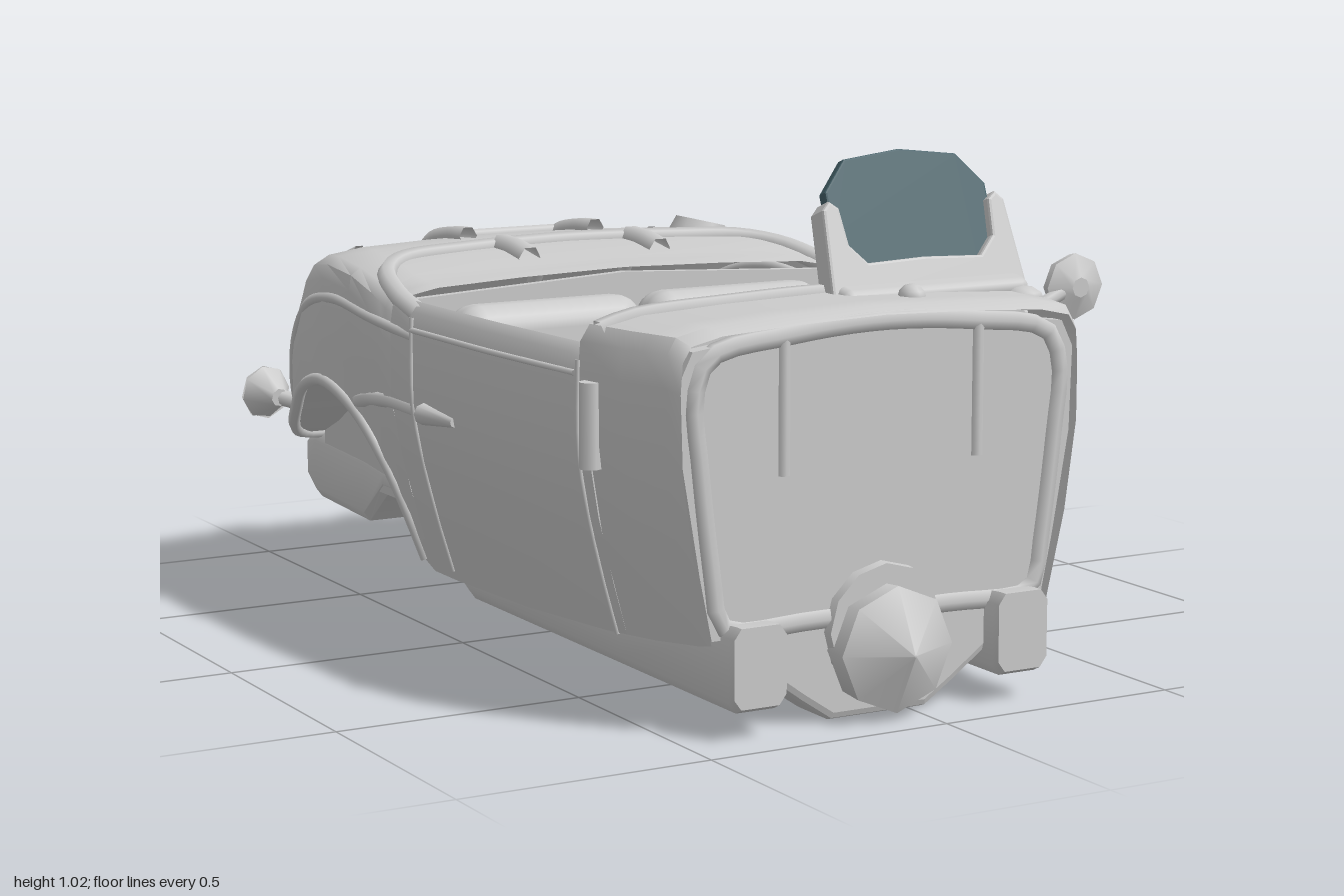
import * as THREE from 'three';
import { toCreasedNormals } from 'three/addons/utils/BufferGeometryUtils.js';
import { RoundedBoxGeometry } from 'three/addons/geometries/RoundedBoxGeometry.js';

const grey = new THREE.MeshStandardMaterial({ color: 0xcccccc, side: THREE.DoubleSide });
const glass = new THREE.MeshStandardMaterial({ color: 0x446068, side: THREE.DoubleSide });
const V = (x, y, z) => new THREE.Vector3(x, y, z);
const lerp = THREE.MathUtils.lerp;

// Body stations: z, half width, top, lower edge, roundness
const ROWS = [
  [0.89, 0.43, 0.75, 0.175, 0], [0.86, 0.445, 0.765, 0.17, 0], [0.75, 0.475, 0.765, 0.16, 0],
  [0.6, 0.503, 0.765, 0.15, 0], [0.3, 0.525, 0.73, 0.135, 0], [0, 0.535, 0.715, 0.13, 0],
  [-0.1, 0.535, 0.725, 0.13, 0], [-0.135, 0.535, 0.73, 0.15, 0], [-0.16, 0.535, 0.73, 0.25, 0],
  [-0.2, 0.535, 0.735, 0.335, 0], [-0.3, 0.535, 0.75, 0.435, 0], [-0.45, 0.533, 0.755, 0.48, 0.1],
  [-0.6, 0.52, 0.745, 0.445, 0.3], [-0.7, 0.497, 0.72, 0.385, 0.5], [-0.8, 0.457, 0.63, 0.325, 0.8],
  [-0.88, 0.395, 0.515, 0.29, 1], [-0.94, 0.3, 0.415, 0.275, 1], [-0.975, 0.19, 0.335, 0.265, 1],
  [-0.99, 0.06, 0.275, 0.26, 1]];
const PROFILE = [[1, 0], [1, 0.3], [1, 0.6], [1, 0.8], [0.99, 0.9], [0.95, 0.95], [0.8, 0.975], [0.45, 0.99], [0, 1]];
// Frame rail stations: z, top, bottom
const RAIL = [
  [0.93, 0.21, 0.06], [0.91, 0.21, 0.05], [0.5, 0.17, 0.05], [0, 0.14, 0.05], [-0.15, 0.14, 0.05],
  [-0.22, 0.17, 0.085], [-0.37, 0.25, 0.2], [-0.57, 0.26, 0.2], [-0.67, 0.27, 0.12], [-0.93, 0.28, 0.13],
  [-0.975, 0.27, 0.16]];

function station(z) {
  let i = 0;
  while (i < ROWS.length - 2 && ROWS[i + 1][0] > z) i++;
  const t = (z - ROWS[i][0]) / (ROWS[i + 1][0] - ROWS[i][0]);
  return ROWS[i].map((v, k) => lerp(v, ROWS[i + 1][k], t));
}
const taper = y => (y < 0.5 ? 1 - 0.175 * Math.pow((0.5 - y) / 0.37, 1.3) : 1);
// Half section from lower edge to top centre
function half(z) {
  const [, hw, top, low, round] = station(z);
  return PROFILE.map(([px, py], i) => {
    const a = (i / 8) * Math.PI / 2;
    const rx = i === 8 ? 0 : Math.pow(Math.cos(a), 0.75), ry = Math.pow(Math.sin(a), 0.75);
    const y = lerp(low, top, lerp(py, ry, round));
    return [hw * lerp(px, rx, round) * lerp(taper(y), 1, round), y];
  });
}
const fullSection = z => {
  const h = half(z);
  return [...h.map(([x, y]) => V(-x, y, z)), ...h.slice(0, -1).reverse().map(([x, y]) => V(x, y, z))];
};
// Height of the deck at x, and half width of the side at y
function deckY(x, z) {
  const h = half(z);
  for (let i = 7; i >= 0; i--) if (h[i][0] >= Math.abs(x)) {
    return lerp(h[i + 1][1], h[i][1], (Math.abs(x) - h[i + 1][0]) / (h[i][0] - h[i + 1][0]));
  }
  return h[4][1];
}
function sideX(y, z) {
  const h = half(z);
  for (let i = 0; i < 8; i++) if (h[i + 1][1] >= y) {
    return lerp(h[i][0], h[i + 1][0], Math.max(0, (y - h[i][1]) / (h[i + 1][1] - h[i][1])));
  }
  return 0;
}

function loft(sections, ring = false, crease = 0.7) {
  const n = sections[0].length, pos = [], idx = [];
  sections.forEach(s => s.forEach(p => pos.push(p.x, p.y, p.z)));
  for (let i = 0; i < sections.length - 1; i++) for (let j = 0; j < (ring ? n : n - 1); j++) {
    const a = i * n + j, b = i * n + (j + 1) % n;
    idx.push(a, b, b + n, a, b + n, a + n);
  }
  if (ring) for (const o of [0, (sections.length - 1) * n]) for (let j = 1; j < n - 1; j++) {
    idx.push(o, o ? o + j : o + j + 1, o ? o + j + 1 : o + j);
  }
  const g = new THREE.BufferGeometry();
  g.setAttribute('position', new THREE.Float32BufferAttribute(pos, 3));
  g.setIndex(idx);
  return toCreasedNormals(g, crease);
}

export function createModel() {
  const model = new THREE.Group(), car = new THREE.Group();
  car.name = 'car';
  car.position.x = -0.07;
  model.add(car);
  const add = (name, geo, x = 0, y = 0, z = 0, mat = grey, parent = car) => {
    const m = new THREE.Mesh(geo, mat);
    m.name = name;
    m.position.set(x, y, z);
    parent.add(m);
    return m;
  };
  const rod = (name, a, b, r, r2 = r, sides = 8) => {
    const d = b.clone().sub(a), m = add(name, new THREE.CylinderGeometry(r2, r, d.length(), sides));
    m.position.copy(a).addScaledVector(d, 0.5);
    m.quaternion.setFromUnitVectors(V(0, 1, 0), d.normalize());
    return m;
  };
  const tube = (name, pts, r, n = 24, closed = false) =>
    add(name, new THREE.TubeGeometry(new THREE.CatmullRomCurve3(pts, closed), n, r, 6, closed));
  const slab = (pts, depth, bevel = 0) => new THREE.ExtrudeGeometry(
    new THREE.Shape(pts.map(p => new THREE.Vector2(...p))),
    { depth, bevelEnabled: bevel > 0, bevelSize: bevel, bevelThickness: bevel, bevelSegments: 2 });
  const mirrorPts = h => [...h, ...h.filter(p => p[0] !== 0).reverse().map(([x, y]) => [-x, y])];

  // Cowl and rear body shells
  add('cowl', loft([0.89, 0.86, 0.8, 0.75, 0.63].map(fullSection)));
  add('rearBody', loft(ROWS.map(r => r[0]).filter(z => z <= -0.1).map(fullSection), false, 0.8));

  // Firewall with rounded frame and ribs
  const face = [[0.36, 0.18], [0.385, 0.3], [0.42, 0.5], [0.425, 0.66], [0.4, 0.71], [0.2, 0.735], [0, 0.745]];
  add('firewall', slab(mirrorPts(face), 0.03), 0, 0, 0.85);
  const frame = [[0.15, 0.195], [0.32, 0.195], [0.345, 0.215], [0.36, 0.3], [0.385, 0.5], [0.395, 0.63],
    [0.365, 0.695], [0.2, 0.725], [0, 0.738]];
  tube('firewallFrame', mirrorPts(frame).map(p => V(p[0], p[1], 0.873)), 0.02, 60, true);

  for (const s of [1, -1]) {
    rod('firewallRib', V(s * 0.21, 0.47, 0.877), V(s * 0.21, 0.72, 0.877), 0.013);

    // Door and side walls with rolled rim
    add('sideWall', loft([0.66, 0.6, 0.45, 0.3, 0.15, 0, -0.1].map(z => {
      const [, hw, , low] = station(z), o = y => hw * taper(y);
      return [[o(low), low], [o(0.25), 0.25], [o(0.38), 0.38], [hw, 0.5], [hw, 0.64], [hw - 0.006, 0.68],
        [hw - 0.025, 0.698], [hw - 0.045, 0.68], [hw - 0.05, 0.5], [o(low) - 0.05, low]].map(p => V(s * p[0], p[1], z));
    }), true));
    for (const z of [0, 0.63]) {
      tube('doorSeam', [0.15, 0.25, 0.38, 0.5, 0.67].map(y => V(s * station(z)[1] * taper(y), y, z)), 0.005, 12);
    }
    tube('beltLine', [0.62, 0.45, 0.3, 0.15, 0].map(z => V(s * station(z)[1], 0.645, z)), 0.006, 12);
    rod('doorHinge', V(s * 0.493, 0.475, 0.67), V(s * 0.493, 0.635, 0.67), 0.022);
    rod('doorHandle', V(s * 0.535, 0.485, 0.05), V(s * 0.525, 0.485, 0.17), 0.022, 0.01);

    // Wheel arch: liner, lip and fender mouldings
    const arch = ROWS.filter(r => r[0] <= -0.1 && r[0] >= -0.89);
    add('wheelWell', loft(arch.map(([z, , , low]) => {
      const x = half(z)[0][0], inner = Math.min(0.34, x);
      return [V(s * x, low, z), V(s * inner, low, z), V(s * inner, Math.min(low, 0.2), z)];
    })));
    tube('archLip', [...ROWS.filter(r => r[0] <= -0.13).map(([z, , , low]) => V(s * (half(z)[0][0] - 0.004), low, z)),
      V(0, 0.26, -0.988)], 0.013, 44);
    tube('fenderRidge', [[0, 0.63], [-0.2, 0.645], [-0.4, 0.66], [-0.57, 0.625], [-0.7, 0.535], [-0.8, 0.42], [-0.86, 0.32]]
      .map(([z, y]) => V(s * (sideX(y, z) - 0.005), y, z)), 0.012, 30);
    tube('sideMoulding', [[0, 0.485], [-0.12, 0.485], [-0.22, 0.475], [-0.29, 0.46]]
      .map(([z, y]) => V(s * (sideX(y, z) - 0.008), y, z)), 0.016, 16);

    // Rack rails, deck trims and hinge straps
    tube('rackRail', [-0.52, -0.6, -0.7, -0.8, -0.9].map(z => V(s * 0.155, deckY(0.155, z) + 0.006, z)), 0.021);
    tube('deckTrim', [-0.63, -0.7, -0.78, -0.85].map(z => V(s * 0.36, deckY(0.36, z) - 0.005, z)), 0.016);
    tube('hingeStrap', [-0.23, -0.29, -0.36].map(z => V(s * 0.155, deckY(0.155, z) + 0.002, z)), 0.025, 8);

    // Lamps on stalks
    rod('lampStalk', V(s * 0.4, 0.36, -0.83), V(s * 0.45, 0.375, -0.89), 0.018);
    rod('lampBowl', V(s * 0.452, 0.375, -0.87), V(s * 0.462, 0.38, -0.925), 0.02, 0.06);
    rod('lampLens', V(s * 0.462, 0.38, -0.925), V(s * 0.465, 0.38, -0.955), 0.06, 0.03);

    // Frame rail with chamfered edges
    add('frameRail', loft(RAIL.map(([z, t, b]) =>
      [[-0.04, b], [0.04, b], [0.055, b + 0.02], [0.055, t - 0.02], [0.04, t], [-0.04, t], [-0.055, t - 0.02], [-0.055, b + 0.02]]
        .map(p => V(s * 0.287 + p[0], p[1], z))), true));

    // Seat
    const seat = new THREE.Group();
    seat.name = 'seat';
    seat.position.x = s * 0.217;
    car.add(seat);
    add('seatCushion', new RoundedBoxGeometry(0.42, 0.18, 0.38, 3, 0.06), 0, 0.35, 0.18, grey, seat);
    add('seatBack', new RoundedBoxGeometry(0.42, 0.42, 0.13, 3, 0.055), 0, 0.47, -0.03, grey, seat).rotation.x = -0.08;
  }

  // Deck rim, rack bar, fuel cap and bulkhead
  const rim = [[0.515, 0], [0.505, -0.12], [0.47, -0.25], [0.4, -0.32], [0.25, -0.355], [0, -0.375]];
  tube('deckRim', mirrorPts(rim).map(([x, z]) => V(x, deckY(x, z) - 0.004, z)), 0.022, 50);
  rod('rackBar', V(-0.155, deckY(0.155, -0.7) + 0.012, -0.7), V(0.155, deckY(0.155, -0.7) + 0.012, -0.7), 0.016);
  rod('fuelNeck', V(0.395, 0.69, -0.5), V(0.405, 0.735, -0.5), 0.045);
  rod('fuelCap', V(0.402, 0.725, -0.5), V(0.41, 0.758, -0.5), 0.066, 0.055, 6);
  add('bulkhead', slab(mirrorPts([[0.4, 0.15], [0.46, 0.32], [0.49, 0.5], [0.49, 0.69], [0, 0.715]]), 0.02), 0, 0, -0.12);

  // Floors, cross members, driveshaft and rear bar
  add('cabinFloor', loft([0.86, 0.6, 0.3, 0, -0.12].map(z => {
    const [, hw, , low] = station(z), x = hw * taper(low) - 0.01;
    return [V(-x, low + 0.01, z), V(x, low + 0.01, z)];
  })));
  add('rearFloor', loft(RAIL.filter(r => r[0] < 0.1).map(([z, t]) => [V(-0.32, t - 0.015, z), V(0.32, t - 0.015, z)])));
  for (const z of [0.5, 0.1]) rod('crossMember', V(-0.28, 0.09, z), V(0.28, 0.09, z), 0.02);
  rod('driveshaft', V(0, 0.1, 0.8), V(0, 0.1, 0), 0.025);
  rod('rearBar', V(-0.28, 0.2, -0.94), V(0.28, 0.2, -0.94), 0.03);

  // Front housing and pointed hub
  const housing = [[0.25, 0.185], [0.25, 0.12], [0.16, 0.055], [0.1, 0.015]];
  add('housing', slab(mirrorPts(housing), 0.1, 0.015), 0, 0, 0.765);
  rod('housingHump', V(0, 0.17, 0.8), V(0, 0.17, 0.9), 0.13, 0.12, 12);
  rod('hub', V(0, 0.135, 0.7), V(0, 0.135, 0.94), 0.1, 0.12);
  rod('hubNose', V(0, 0.135, 0.94), V(0, 0.135, 1), 0.12, 0.002);

  // Dashboard, scuttle roll, gauges and cowl knobs
  add('dashboard', new THREE.BoxGeometry(0.92, 0.2, 0.03), 0, 0.62, 0.65);
  tube('scuttleRoll', [-0.47, -0.4, -0.2, 0, 0.2, 0.4, 0.47].map(x => V(x, deckY(x, 0.66) - 0.006, 0.66)), 0.022);
  for (const x of [-0.1, 0.01]) rod('gauge', V(x, 0.64, 0.65), V(x, 0.64, 0.61), 0.045);
  add('cowlKnob', new THREE.SphereGeometry(0.028, 8, 6), 0.135, 0.757, 0.77);
  add('cowlKnob', new THREE.SphereGeometry(0.04, 8, 6), 0.41, 0.735, 0.74).scale.y = 0.6;

  // Windscreen on a fairing
  const screen = new THREE.Group();
  screen.name = 'windscreen';
  screen.position.set(0.22, 0.8, 0.66);
  screen.rotation.x = -0.37;
  car.add(screen);
  const pane = [[0.13, -0.005], [0.16, 0.015], [0.178, 0.07], [0.178, 0.15], [0.125, 0.21], [0, 0.225]];
  add('windscreenGlass', slab(mirrorPts(pane), 0.018, 0.004), 0, 0, -0.009, glass, screen);
  const post = [[0.215, -0.07], [0.2, 0.11], [0.188, 0.122], [0.175, 0.112], [0.168, 0.04], [0.13, 0.0], [0, 0.005]];
  add('windscreenFrame', slab(mirrorPts(post), 0.04, 0.006), 0, 0, -0.014, grey, screen);
  add('fairing', new RoundedBoxGeometry(0.42, 0.05, 0.1, 2, 0.02), 0.22, 0.755, 0.69).rotation.x = 0.2;

  // Steering wheel and column
  const wheel = new THREE.Group();
  wheel.name = 'steeringWheel';
  wheel.position.set(0.22, 0.66, 0.43);
  wheel.rotation.x = -0.62;
  car.add(wheel);
  add('wheelRim', new THREE.TorusGeometry(0.16, 0.015, 6, 12), 0, 0, 0, grey, wheel).rotation.x = Math.PI / 2;
  add('wheelHub', new THREE.CylinderGeometry(0.035, 0.045, 0.04, 8), 0, 0, 0, grey, wheel);
  for (let i = 0; i < 5; i++) {
    const a = i * Math.PI * 0.4;
    add('wheelSpoke', new THREE.BoxGeometry(0.15, 0.012, 0.022), 0.08 * Math.sin(a), 0, 0.08 * Math.cos(a), grey, wheel)
      .rotation.y = a - Math.PI / 2;
  }
  rod('steeringColumn', V(0.22, 0.66, 0.43), V(0.22, 0.33, 0.67), 0.02);

  // Side mirror
  rod('mirrorArm', V(0.47, 0.67, 0.63), V(0.58, 0.72, 0.63), 0.015);
  rod('mirrorShell', V(0.612, 0.73, 0.61), V(0.612, 0.73, 0.63), 0.062, 0.066);
  rod('mirrorBack', V(0.612, 0.73, 0.63), V(0.612, 0.73, 0.65), 0.066, 0.02);
  return model;
}
